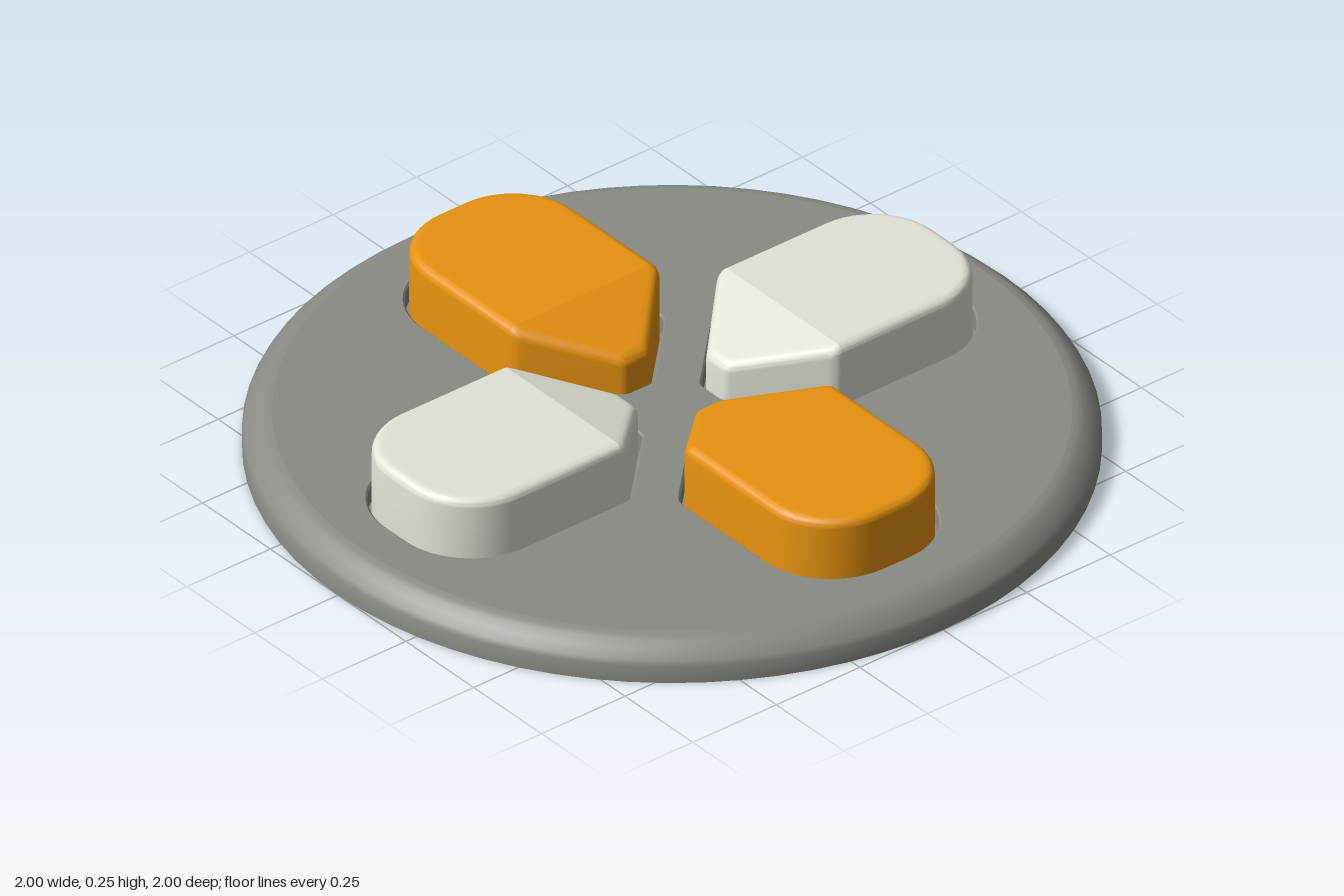
import * as THREE from 'three';
import { toCreasedNormals } from 'three/addons/utils/BufferGeometryUtils.js';

const SEGMENTS = 72, DECK = 0.1, FLOOR = 0.05, TOP = 0.25, CREASE = 0.33, SLOPE = 0.33;

// One side of a button outline, inset by d: x = half width, y = distance from the centre
function halfOutline(d) {
  const w = 0.23 - d, inner = 0.12 + d, outer = 0.825 - d, radius = 0.19 - d;
  const offset = 0.08 + d * Math.SQRT2;
  const v = (x, y) => new THREE.Vector2(x, y);
  const tip = inner - offset, shoulder = w + offset, end = CREASE - shoulder;
  const round = (a, b, c) => new THREE.QuadraticBezierCurve(a, b, c).getPoints(5);
  const points = [
    ...round(v(tip - 0.012, inner), v(tip, inner), v(tip + 0.01, inner + 0.01)),
    ...round(v(w - end, shoulder - end), v(w, shoulder), v(w, CREASE)),
  ];
  for (let i = 0; i <= 12; i++) {
    const a = (i / 12) * Math.PI / 2;
    points.push(v(w - radius + radius * Math.cos(a), outer - radius + radius * Math.sin(a)));
  }
  return points;
}

function outline(d) {
  const half = halfOutline(d);
  return [...half, ...half.map((p) => new THREE.Vector2(-p.x, p.y)).reverse()];
}

// Skin a stack of [inset, height(r)] rings and close the last one with a strip
function loft(levels) {
  const positions = [], index = [];
  let n = 0;
  for (const [d, height] of levels) {
    const ring = outline(d);
    n = ring.length;
    for (const p of ring) positions.push(p.x, height(p.y), p.y);
  }
  for (let k = 0; k < levels.length - 1; k++) {
    for (let i = 0; i < n; i++) {
      const j = (i + 1) % n, a = k * n, b = a + n;
      index.push(a + i, b + i, b + j, a + i, b + j, a + j);
    }
  }
  const last = (levels.length - 1) * n;
  for (let i = 0; i < n / 2 - 1; i++) {
    const r = last + i, l = last + n - 1 - i;
    index.push(l, l - 1, r, r, l - 1, r + 1);
  }
  const geometry = new THREE.BufferGeometry();
  geometry.setAttribute('position', new THREE.Float32BufferAttribute(positions, 3));
  geometry.setIndex(index);
  return toCreasedNormals(geometry, 0.3);
}

// Flat top that slopes down towards the centre, with a rounded rim
function buttonGeometry() {
  const fillet = 0.022;
  const top = (r) => TOP - SLOPE * Math.max(0, CREASE - r);
  const levels = [[0.01, () => FLOOR]];
  for (let i = 0; i <= 6; i++) {
    const a = (i / 6) * Math.PI / 2;
    levels.push([0.01 + fillet * (1 - Math.cos(a)), (r) => top(r) - fillet * (1 - Math.sin(a))]);
  }
  levels.push([0.042, top]);
  return loft(levels);
}

export function createModel() {
  const model = new THREE.Group();
  const grey = new THREE.MeshStandardMaterial({ color: 0x8a8b84 });
  const orange = new THREE.MeshStandardMaterial({ color: 0xe6920f });
  const white = new THREE.MeshStandardMaterial({ color: 0xe2e2d8 });
  const add = (name, geometry, material, turn = 0) => {
    const mesh = new THREE.Mesh(geometry, material);
    mesh.name = name;
    mesh.rotation.y = turn;
    model.add(mesh);
  };

  // Base: underside and rounded rim
  const profile = [[0, 0], [1, 0], [1, 0.045], [0.993, 0.058], [0.975, 0.076], [0.958, 0.091], [0.945, 0.097], [0.93, DECK]]
    .map(([x, y]) => new THREE.Vector2(x, y));
  add('baseRim', toCreasedNormals(new THREE.LatheGeometry(profile, SEGMENTS), 0.6), grey);

  // Base: flat deck with four button openings
  const deck = new THREE.Shape();
  for (let i = 0; i < SEGMENTS; i++) {
    const a = (i / SEGMENTS) * Math.PI * 2;
    deck[i ? 'lineTo' : 'moveTo'](0.93 * Math.cos(a), 0.93 * Math.sin(a));
  }
  for (let k = 0; k < 4; k++) {
    const origin = new THREE.Vector2();
    deck.holes.push(new THREE.Path(outline(-0.005).map((p) => p.rotateAround(origin, k * Math.PI / 2))));
  }
  add('baseDeck', new THREE.ShapeGeometry(deck).rotateX(-Math.PI / 2).translate(0, DECK, 0), grey);

  // Sockets and the buttons seated in them
  const socket = loft([[-0.005, () => DECK], [0, () => DECK - 0.005], [0, () => FLOOR]]);
  const button = buttonGeometry();
  ['front', 'left', 'back', 'right'].forEach((side, k) => {
    add(side + 'Socket', socket, grey, k * Math.PI / 2);
    add(side + 'Button', button, k % 2 ? white : orange, k * Math.PI / 2);
  });
  return model;
}
